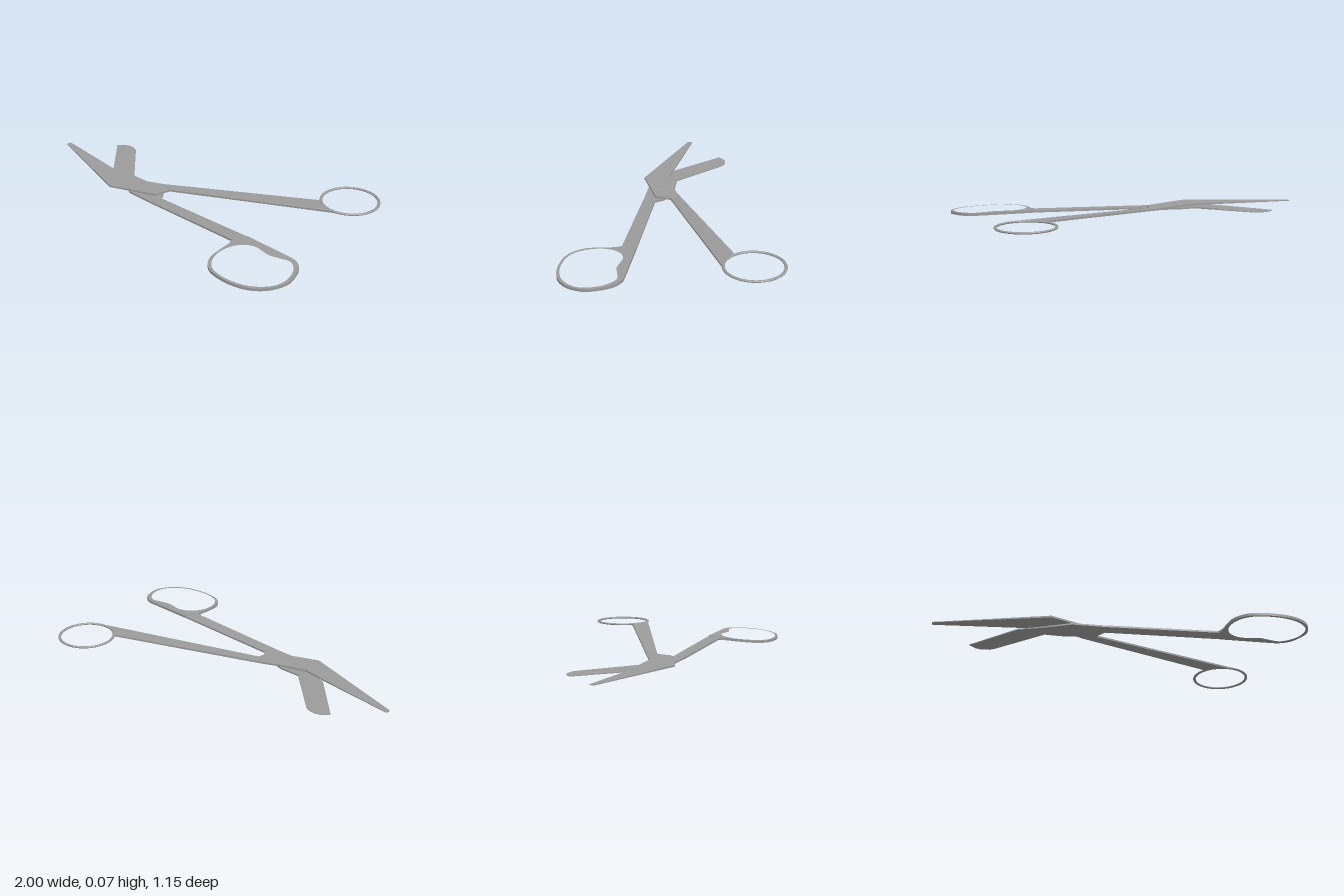
import * as THREE from 'three';
import { toCreasedNormals } from 'three/addons/utils/BufferGeometryUtils.js';

const steel = new THREE.MeshStandardMaterial({ color: 0x9b9b9b });
const lerp = THREE.MathUtils.lerp;
const clamp01 = (t) => Math.min(1, Math.max(0, t));

function part(name, geometry) {
  const mesh = new THREE.Mesh(geometry, steel);
  mesh.name = name;
  return mesh;
}

// Flat plate from an [x, z] outline; bottom and top heights are functions of (x, z)
function plate(name, outline, bottom, top, hole) {
  const toPoints = (list) => list.map(([x, z]) => new THREE.Vector2(x, -z));
  const shape = new THREE.Shape(toPoints(outline));
  if (hole) shape.holes.push(new THREE.Path(toPoints(hole)));
  const geo = new THREE.ExtrudeGeometry(shape, { depth: 1, bevelEnabled: false });
  geo.rotateX(-Math.PI / 2);
  const p = geo.attributes.position;
  for (let i = 0; i < p.count; i++) {
    const x = p.getX(i), z = p.getZ(i);
    p.setY(i, lerp(bottom(x, z), top(x, z), p.getY(i)));
  }
  return part(name, toCreasedNormals(geo, 0.6));
}

// Smooth outline through a few [x, z] points
function smooth(points, closed, n = 72) {
  const curve = new THREE.CatmullRomCurve3(points.map(([x, z]) => new THREE.Vector3(x, 0, z)), closed);
  return curve.getPoints(n).slice(0, closed ? n : n + 1).map((v) => [v.x, v.z]);
}

function upperHalf() {
  const half = new THREE.Group();
  half.name = 'upperHalf';
  const toTip = (x) => clamp01((-0.38 - x) / 0.62);

  half.add(plate('upperBlade',
    [[-0.995, 0.181], [-1, 0.187], [-1, 0.205], [-0.995, 0.211], [-0.38, 0.368], [-0.41, 0.23], [-0.555, 0.215]],
    (x) => lerp(0.015, 0.02, toTip(x)), (x) => lerp(0.025, 0.023, toTip(x))));
  half.add(plate('upperJoint',
    [[-0.38, 0.368], [-0.125, 0.25], [-0.11, 0.16], [-0.18, 0.13], [-0.275, 0.18], [-0.41, 0.23]],
    () => 0.015, () => 0.025));

  // Shank rises from the joint to the finger ring
  const along = (x, z) => clamp01(((x + 0.145) * 0.805 - (z - 0.145) * 0.425) / (0.805 ** 2 + 0.425 ** 2));
  half.add(plate('upperShank',
    [[-0.18, 0.13], [0.6, -0.3], [0.65, -0.267], [0.71, -0.255], [0.745, -0.259], [-0.11, 0.16]],
    (x, z) => lerp(0.015, 0.063, along(x, z)), (x, z) => lerp(0.025, 0.073, along(x, z))));

  const ring = part('upperFingerRing', new THREE.TorusGeometry(0.155, 0.008, 16, 64));
  ring.rotation.x = Math.PI / 2;
  ring.scale.z = 0.72;
  ring.position.set(0.71, 0.068, -0.413);
  half.add(ring);
  return half;
}

function lowerHalf() {
  const half = new THREE.Group();
  half.name = 'lowerHalf';
  const toTip = (x) => clamp01((-0.4 - x) / 0.3);

  half.add(plate('lowerBlade',
    [[-0.8, -0.022], [-0.765, -0.058], [-0.74, -0.068], [-0.715, -0.07], [-0.685, -0.067], [-0.66, -0.052],
      [-0.4, 0.175], [-0.42, 0.255], [-0.545, 0.213]],
    (x) => lerp(0.005, 0.008, toTip(x)), (x) => lerp(0.014, 0.011, toTip(x))));
  half.add(plate('lowerJoint',
    [[-0.4, 0.175], [-0.28, 0.167], [-0.115, 0.2], [-0.08, 0.245], [-0.08, 0.314], [-0.265, 0.319], [-0.42, 0.255]],
    () => 0.005, () => 0.014));

  const shankY = (x) => 0.005 + 0.026 * (x + 0.08);
  half.add(plate('lowerShank',
    [[-0.08, 0.245], [0.58, 0.217], [0.58, 0.3], [0.53, 0.298], [-0.08, 0.314]],
    shankY, (x) => shankY(x) + 0.01));

  // Large shaped loop, tilted down toward the front, with a straight back edge
  const outer = [[0.56, 0.218], ...smooth([[0.83, 0.211], [0.89, 0.214], [0.945, 0.245], [0.982, 0.31],
    [0.998, 0.38], [0.967, 0.475], [0.885, 0.546], [0.75, 0.575], [0.63, 0.555], [0.57, 0.49], [0.55, 0.4],
    [0.545, 0.34], [0.53, 0.298]], false)];
  const inner = smooth([[0.565, 0.4], [0.577, 0.335], [0.61, 0.288], [0.665, 0.262], [0.72, 0.267], [0.765, 0.272],
    [0.82, 0.257], [0.885, 0.242], [0.94, 0.28], [0.972, 0.34], [0.977, 0.42], [0.93, 0.495], [0.85, 0.543],
    [0.74, 0.561], [0.64, 0.541], [0.585, 0.48]], true);
  const loopY = (x, z) => 0.019 - 0.055 * (z - 0.25);
  half.add(plate('lowerFingerLoop', outer, loopY, (x, z) => loopY(x, z) + 0.014, inner));
  return half;
}

export function createModel() {
  const model = new THREE.Group();
  model.name = 'scissors';
  model.add(upperHalf(), lowerHalf());

  // Shallow domed rivet head on the joint
  const profile = [[0.036, 0.024], [0.033, 0.0255], [0.025, 0.0268], [0.013, 0.0276], [0, 0.028]]
    .map(([r, y]) => new THREE.Vector2(r, y));
  const rivet = part('pivotRivet', new THREE.LatheGeometry(profile, 32));
  rivet.position.set(-0.25, 0, 0.24);
  model.add(rivet);
  return model;
}
